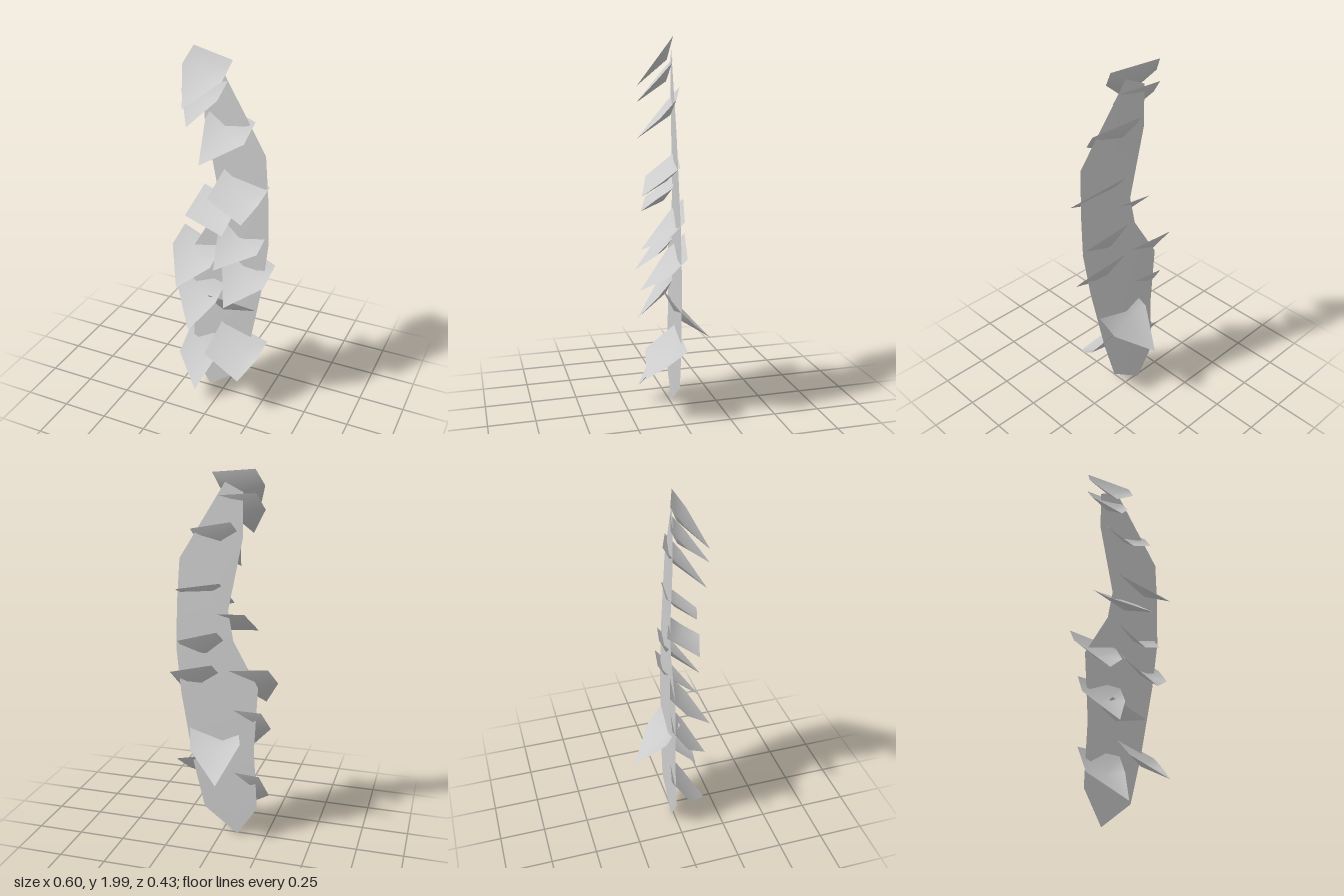
import * as THREE from 'three';

const material = new THREE.MeshStandardMaterial({ color: 0xcccccc, side: THREE.DoubleSide });

function surface(name, points, index) {
  const geometry = new THREE.BufferGeometry().setFromPoints(points);
  geometry.setIndex(index);
  geometry.computeVertexNormals();
  const mesh = new THREE.Mesh(geometry, material);
  mesh.name = name;
  return mesh;
}

// Flat, slightly twisted stem: rows of left x, y and right x, y from bottom to top
function createStem() {
  const rows = [
    [-0.09, 0.01, -0.09, 0.01], [-0.2, 0.18, 0.1, 0.15], [-0.18, 0.52, 0.165, 0.4],
    [-0.2, 0.88, 0.24, 0.8], [-0.06, 1.12, 0.27, 1.05], [-0.03, 1.28, 0.265, 1.3],
    [-0.11, 1.66, 0.25, 1.53], [-0.11, 1.885, -0.01, 1.93],
  ];
  const point = (x, y) => new THREE.Vector3(x, y, -0.015 + (x + 0.1) * 0.12 * y);
  const points = [], index = [];
  rows.forEach(([xl, yl, xr, yr], i) => {
    points.push(point(xl, yl), point(xr, yr));
    if (i === 0) return;
    const k = 2 * i;
    if (i > 1) index.push(k - 2, k - 1, k + 1);
    index.push(k - 2, k + 1, k);
  });
  return surface('stem', points, index);
}

// Cupped five-cornered leaf on a tilted plane, its centre pressed in.
// x, y: lower left of its outline; tip, shoulder: fractions of width and height.
function createLeaf({ x, y, width, height, tip, shoulder, zTip, lean, zTop = -0.05 }) {
  const corners = [
    [tip, 0], [0.9, shoulder - 0.35], [1, shoulder], [0.13, 1], [0, 0.72 - 0.7 * tip * tip],
  ];
  const rise = zTop - zTip - lean * width * (0.13 - tip);
  const points = corners.map(([u, v]) => new THREE.Vector3(
    x + u * width, y + v * height, zTip + lean * width * (u - tip) + rise * v));
  const up = new THREE.Vector3(-lean, -rise / height, 1).normalize();
  if (up.y < 0) up.negate();
  const centre = new THREE.Vector3();
  points.forEach((p) => centre.addScaledVector(p, 1 / 5));
  points.push(centre.addScaledVector(up, -0.045));
  const index = [];
  for (let i = 0; i < 5; i++) index.push(5, i, (i + 1) % 5);
  return surface('leaf', points, index);
}

const leaves = [
  { x: -0.215, y: 1.745, width: 0.28, height: 0.255, tip: 0.25, shoulder: 0.9, zTip: 0.155, lean: 0.25 },
  { x: -0.215, y: 1.66, width: 0.245, height: 0.225, tip: 0.39, shoulder: 0.9, zTip: 0.165, lean: 0.2 },
  { x: -0.09, y: 1.48, width: 0.275, height: 0.26, tip: 0.15, shoulder: 0.8, zTip: 0.18, lean: 0.15 },
  { x: -0.025, y: 1.22, width: 0.295, height: 0.2, tip: 0.73, shoulder: 0.73, zTip: 0.21, lean: -0.05, zTop: -0.015 },
  { x: -0.165, y: 1.125, width: 0.285, height: 0.15, tip: 0.86, shoulder: 0.77, zTip: 0.19, lean: 0.15 },
  { x: -0.015, y: 0.91, width: 0.27, height: 0.26, tip: 0.15, shoulder: 0.7, zTip: 0.18, lean: -0.05 },
  { x: 0.01, y: 0.71, width: 0.29, height: 0.28, tip: 0.28, shoulder: 0.73, zTip: 0.2, lean: -0.05 },
  { x: -0.3, y: 0.74, width: 0.29, height: 0.26, tip: 0.34, shoulder: 0.8, zTip: 0.165, lean: 0.12, zTop: -0.075 },
  { x: -0.26, y: 0.485, width: 0.275, height: 0.265, tip: 0.45, shoulder: 0.93, zTip: 0.165, lean: 0.18 },
  // This one hangs down behind the stem
  { x: -0.11, y: 0.38, width: 0.3, height: 0.275, tip: 0.3, shoulder: 0.83, zTip: -0.215, lean: 0.05, zTop: 0.04 },
  { x: -0.05, y: 0.25, width: 0.315, height: 0.23, tip: 0.7, shoulder: 0.72, zTip: 0.19, lean: -0.2, zTop: -0.02 },
  { x: -0.25, y: 0.1, width: 0.26, height: 0.285, tip: 0.6, shoulder: 0.95, zTip: 0.18, lean: 0.2 },
];

export function createModel() {
  const model = new THREE.Group();
  model.name = 'leafyVine';
  model.add(createStem());
  leaves.forEach((leaf) => model.add(createLeaf(leaf)));
  return model;
}
